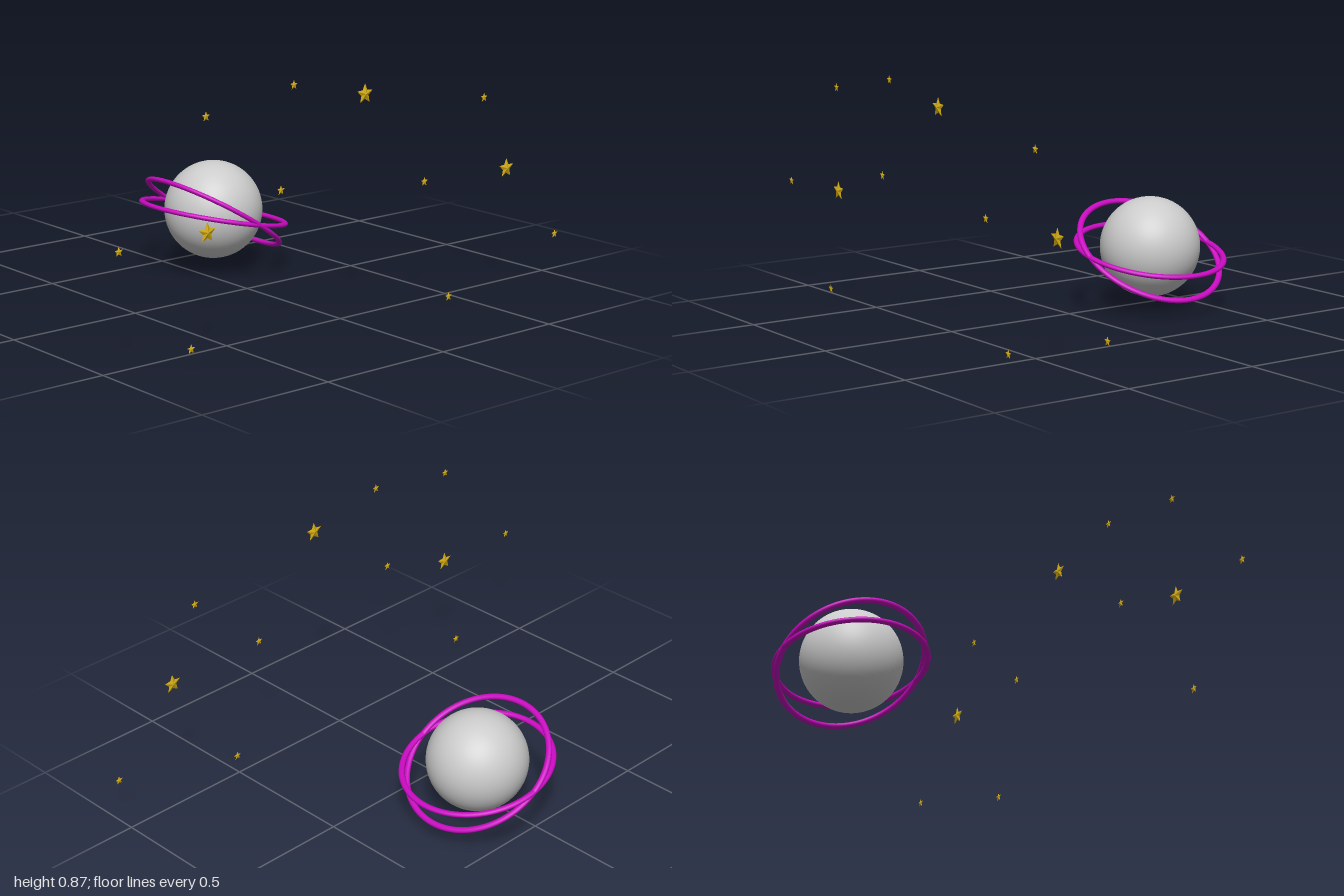
import * as THREE from 'three';

const grey = new THREE.MeshStandardMaterial({ color: 0xcccccc });
const magenta = new THREE.MeshStandardMaterial({ color: 0xc80ac0 });
const gold = new THREE.MeshStandardMaterial({ color: 0xd4ac10, flatShading: true });

// Five-pointed star of unit radius, ridged to a peak at the front and the back
function starGeometry(inner = 0.48, depth = 0.2) {
  const rim = [];
  for (let i = 0; i < 10; i++) {
    const a = Math.PI / 2 + (i * Math.PI) / 5;
    const r = i % 2 ? inner : 1;
    rim.push([r * Math.cos(a), r * Math.sin(a), 0]);
  }
  const positions = [];
  rim.forEach((p, i) => {
    const q = rim[(i + 1) % 10];
    positions.push(...p, ...q, 0, 0, depth);
    positions.push(...q, ...p, 0, 0, -depth);
  });
  const geometry = new THREE.BufferGeometry();
  geometry.setAttribute('position', new THREE.Float32BufferAttribute(positions, 3));
  geometry.computeVertexNormals();
  return geometry;
}

export function createModel() {
  const model = new THREE.Group();
  model.name = 'ringedPlanetAndStars';

  // Planet
  const planet = new THREE.Mesh(new THREE.SphereGeometry(0.181, 64, 40), grey);
  planet.name = 'planet';
  planet.position.set(0.085, 0.226, -0.298);
  model.add(planet);

  // Two crossed rings, slightly flattened across their plane
  const ringGeometry = new THREE.TorusGeometry(0.267, 0.011, 16, 96);
  ringGeometry.scale(1, 1, 0.8);
  ringGeometry.rotateX(Math.PI / 2);
  [['shallowRing', 12], ['steepRing', 33.5]].forEach(([name, tilt]) => {
    const ring = new THREE.Mesh(ringGeometry, magenta);
    ring.name = name;
    ring.position.set(0.086, 0.214, -0.298);
    ring.rotation.z = -THREE.MathUtils.degToRad(tilt);
    model.add(ring);
  });

  // Stars, all in one upright plane in front of the planet
  const stars = new THREE.Group();
  stars.name = 'stars';
  const geometry = starGeometry();
  const addStars = (name, radius, spots) => spots.forEach(([x, y], i) => {
    const star = new THREE.Mesh(geometry, gold);
    star.name = name + (i + 1);
    star.position.set(x, y, 0.571);
    star.scale.setScalar(radius);
    stars.add(star);
  });
  addStars('largeStar', 0.036, [[-0.636, 0.417], [0.037, 0.786], [0.722, 0.438]]);
  addStars('smallStar', 0.017, [
    [-0.275, 0.852], [-0.639, 0.793], [0.602, 0.707], [-0.329, 0.51], [0.319, 0.446],
    [-0.984, 0.411], [0.984, 0.156], [-0.703, 0.044], [0.447, 0.014],
  ]);
  model.add(stars);

  return model;
}
